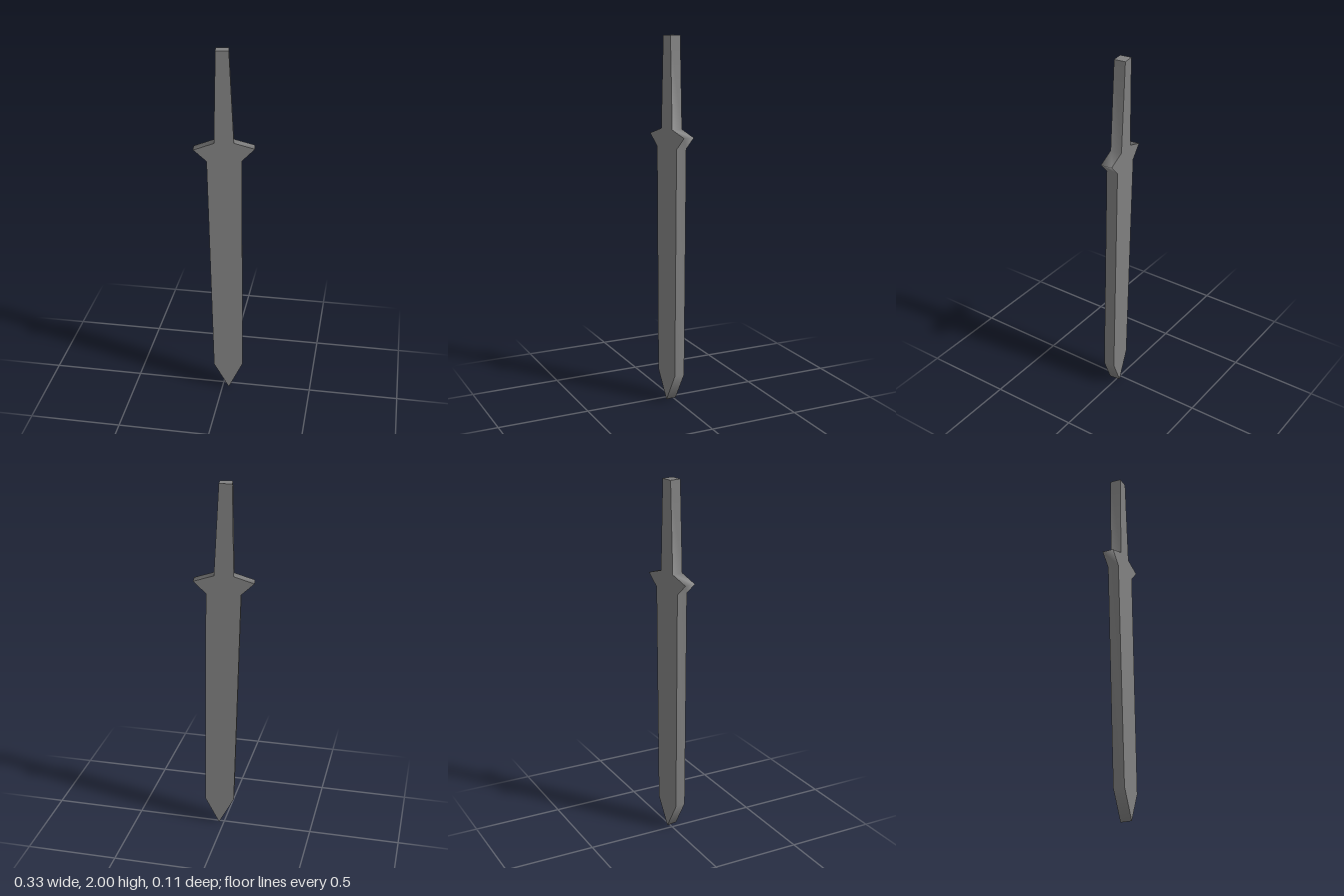
import * as THREE from 'three';

const THICKNESS = 0.062;
const HEIGHT = 2;

// Half outline from the top of the handle down to the blade: [half width, height]
const HALF_OUTLINE = [
  [0.034, HEIGHT], // top of handle
  [0.052, 1.51],   // handle meets guard
  [0.161, 1.475],  // guard point
  [0.0925, 1.41],  // guard meets blade
  [0.0815, 0.157], // blade shoulder
];

// Full silhouette: down the left side, round the tip, up the right side
const OUTLINE = [
  ...HALF_OUTLINE.map(([x, y]) => new THREE.Vector2(-x, y)),
  new THREE.Vector2(0, 0),
  ...HALF_OUTLINE.map(([x, y]) => new THREE.Vector2(x, y)).reverse(),
];

// A strip bent along the silhouette, shaded smoothly from corner to corner
function edgeGeometry() {
  const geometry = new THREE.PlaneGeometry(1, THICKNESS, OUTLINE.length - 1, 1);
  const position = geometry.attributes.position;
  for (let i = 0; i < position.count; i++) {
    const point = OUTLINE[i % OUTLINE.length];
    position.setXYZ(i, point.x, point.y, position.getY(i));
  }
  geometry.computeVertexNormals();
  return geometry;
}

export function createModel() {
  const material = new THREE.MeshStandardMaterial({ color: 0x808080 });
  const sword = new THREE.Group();
  sword.name = 'sword';

  const add = (name, geometry) => {
    const mesh = new THREE.Mesh(geometry, material);
    mesh.name = name;
    sword.add(mesh);
  };

  // Flat front and back of handle, guard and blade
  const face = new THREE.ShapeGeometry(new THREE.Shape(OUTLINE)).translate(0, 0, THICKNESS / 2);
  add('frontFace', face);
  add('backFace', face.clone().rotateY(Math.PI));

  // Rim all the way round, open only at the top of the handle
  add('edge', edgeGeometry());

  // Flat end of the handle
  const handleWidth = 2 * HALF_OUTLINE[0][0];
  add('handleEnd', new THREE.PlaneGeometry(handleWidth, THICKNESS).rotateX(-Math.PI / 2).translate(0, HEIGHT, 0));

  // Turned a little about its length and leaning slightly, standing on its tip
  sword.rotation.set(-0.012, 0.15, 0.0213, 'ZXY');
  sword.position.set(0.032, 0, 0.0145);

  const model = new THREE.Group();
  model.name = 'swordModel';
  model.add(sword);
  return model;
}
